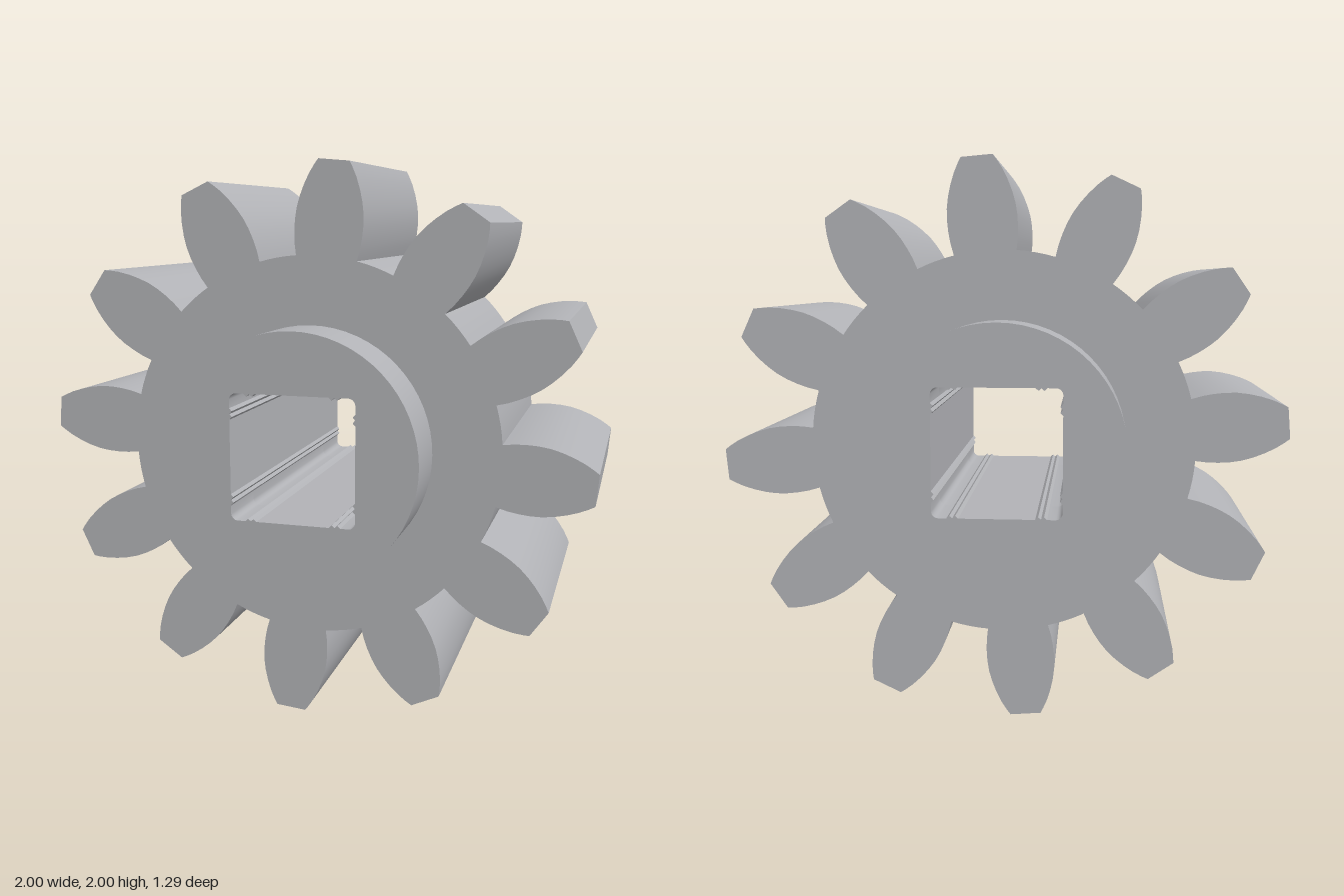
import * as THREE from 'three';
import { toCreasedNormals } from 'three/addons/utils/BufferGeometryUtils.js';

const TEETH = 12;
const PHASE = THREE.MathUtils.degToRad(-4.9);
const ROOT = 0.679;
const GEAR_HALF = 0.428, HUB_HALF = 0.643, HUB_RADIUS = 0.437;

// one tooth flank, root to tip: [radial distance, half width]
const FLANK = [
  [0.67, 0.109], [0.71, 0.117], [0.75, 0.121], [0.79, 0.122], [0.83, 0.119],
  [0.87, 0.111], [0.91, 0.099], [0.95, 0.083], [0.98, 0.067], [0.999, 0.055],
];

// half of one bore side, middle to corner: [along, outward], with two small ridges
const BORE = [
  [0.13, 0.222], [0.14, 0.213], [0.15, 0.221], [0.16, 0.213],
  [0.17, 0.222], [0.2, 0.222], [0.208, 0.22], [0.215, 0.215],
];

function turned(x, y, a) {
  const c = Math.cos(a), s = Math.sin(a);
  return new THREE.Vector2(x * c - y * s, x * s + y * c);
}

function gearShape() {
  const pts = [];
  const rootAngle = Math.atan2(FLANK[0][1], FLANK[0][0]);
  const pitch = (2 * Math.PI) / TEETH;
  for (let i = 0; i < TEETH; i++) {
    const a = PHASE + i * pitch;
    for (const [r, w] of FLANK) pts.push(turned(r, -w, a));
    for (const [r, w] of [...FLANK].reverse()) pts.push(turned(r, w, a));
    // root floor up to the next tooth
    const gap = pitch - 2 * rootAngle;
    for (let k = 1; k <= 3; k++) pts.push(turned(ROOT, 0, a + rootAngle + (gap * k) / 4));
  }
  return new THREE.Shape(pts);
}

// square hole with rounded, ridged corners
function borePath() {
  const pts = [];
  for (let k = 0; k < 4; k++) {
    const a = (k * Math.PI) / 2;
    for (const [s, d] of BORE.slice(0, -1).reverse()) pts.push(turned(d, -s, a));
    for (const [s, d] of BORE) pts.push(turned(d, s, a));
  }
  return new THREE.Path(pts);
}

function extruded(name, shape, z0, z1, material) {
  shape.holes.push(borePath());
  const geo = new THREE.ExtrudeGeometry(shape, {
    depth: z1 - z0, bevelEnabled: false, curveSegments: 32,
  });
  geo.translate(0, 0, z0);
  const mesh = new THREE.Mesh(toCreasedNormals(geo, 0.42), material);
  mesh.name = name;
  mesh.position.y = 1;
  return mesh;
}

export function createModel() {
  const group = new THREE.Group();
  group.name = 'spurGear';
  const steel = new THREE.MeshStandardMaterial({ color: 0xb2b3b7 });
  steel.name = 'steel grey';

  group.add(extruded('toothedBody', gearShape(), -GEAR_HALF, GEAR_HALF, steel));

  // round collar on each face
  const collar = () => new THREE.Shape().absarc(0, 0, HUB_RADIUS, 0, Math.PI * 2, false);
  group.add(extruded('frontCollar', collar(), GEAR_HALF, HUB_HALF, steel));
  group.add(extruded('backCollar', collar(), -HUB_HALF, -GEAR_HALF, steel));
  return group;
}
